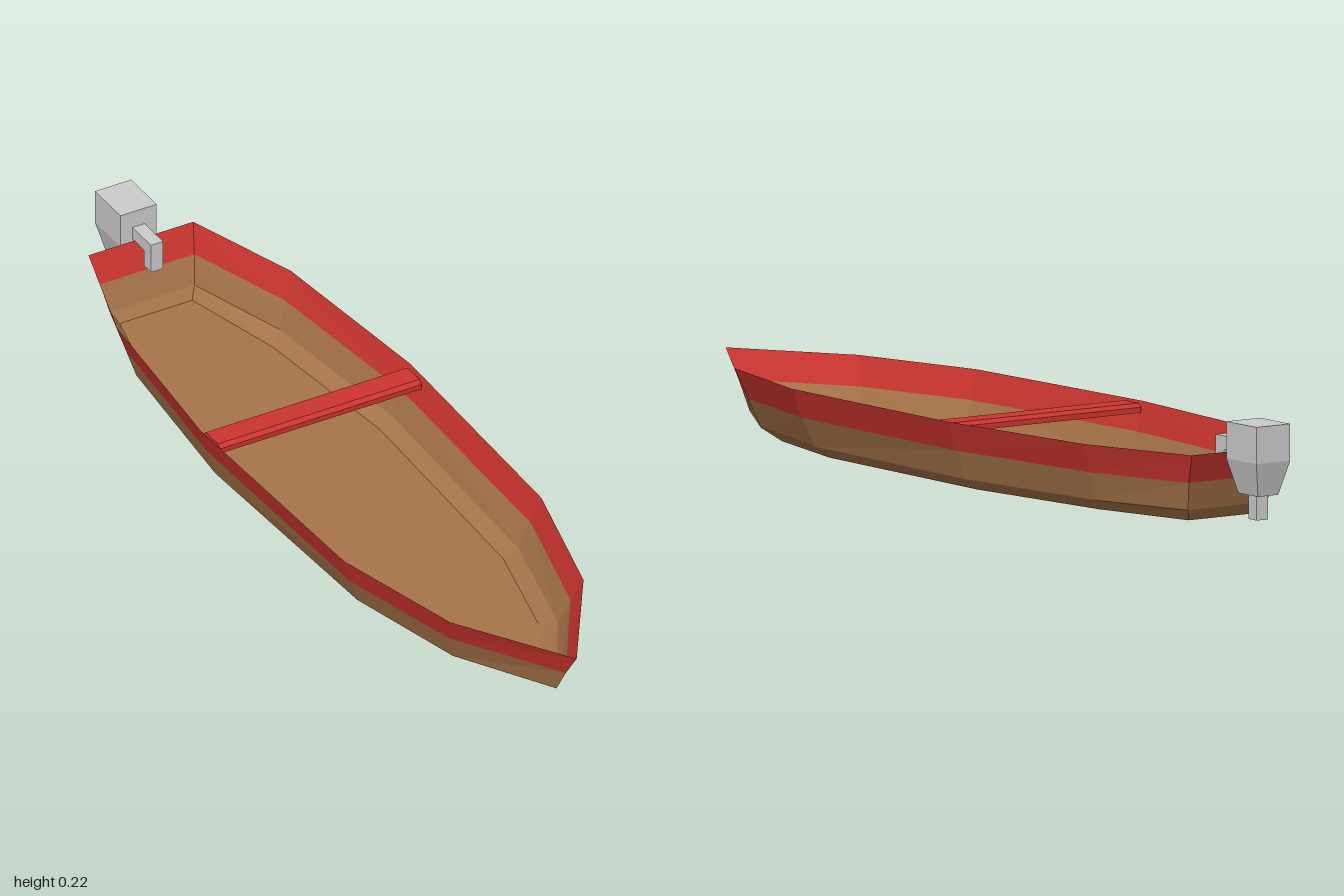
import * as THREE from 'three';

const RED = 0xcc3530, WOOD = 0xa8754a, GREY = 0xcccccc;
const material = (color) => new THREE.MeshStandardMaterial({ color, flatShading: true, side: THREE.DoubleSide });

// Hull outlines from keel to rim: height, then [half width, z] from bow to stern
const rings = [
  [0, [[0, 0.84], [0.11, 0.64], [0.17, 0.385], [0.19, -0.18], [0.15, -0.57], [0.09, -0.815]]],
  [0.025, [[0, 0.91], [0.13, 0.69], [0.2, 0.4], [0.22, -0.178], [0.178, -0.59], [0.105, -0.832]]],
  [0.088, [[0, 0.95], [0.15, 0.71], [0.225, 0.41], [0.24, -0.175], [0.197, -0.6], [0.117, -0.853]]],
  [0.152, [[0, 0.997], [0.165, 0.74], [0.245, 0.42], [0.26, -0.17], [0.217, -0.61], [0.13, -0.88]]],
].map(([y, half]) => [
  ...half.map(([x, z]) => [x, y, z]),
  ...half.slice(1).reverse().map(([x, z]) => [-x, y, z]),
]);

function add(group, name, geometry, color, x = 0, y = 0, z = 0) {
  const mesh = new THREE.Mesh(geometry, material(color));
  mesh.name = name;
  mesh.position.set(x, y, z);
  group.add(mesh);
  return mesh;
}

// Flat facets between two closed outlines
function band(lower, upper) {
  const p = [];
  lower.forEach((a, i) => {
    const j = (i + 1) % lower.length;
    p.push(...a, ...lower[j], ...upper[j], ...a, ...upper[j], ...upper[i]);
  });
  const g = new THREE.BufferGeometry();
  g.setAttribute('position', new THREE.Float32BufferAttribute(p, 3));
  g.computeVertexNormals();
  return g;
}

// Box whose lower end is scaled in x and z
function taperedBox(w, h, d, sx, sz) {
  const g = new THREE.BoxGeometry(w, h, d);
  const p = g.attributes.position;
  for (let i = 0; i < p.count; i++) {
    if (p.getY(i) < 0) p.setXYZ(i, p.getX(i) * sx, p.getY(i), p.getZ(i) * sz);
  }
  g.computeVertexNormals();
  return g;
}

export function createModel() {
  const boat = new THREE.Group();
  boat.name = 'rowingBoat';

  // Hull planking and floor
  const hull = new THREE.Group();
  hull.name = 'hull';
  boat.add(hull);
  ['bilgePlanks', 'sidePlanks', 'rimPlanks'].forEach((name, i) =>
    add(hull, name, band(rings[i], rings[i + 1]), i === 2 ? RED : WOOD));
  const outline = new THREE.Shape(rings[0].map(([x, , z]) => new THREE.Vector2(x, z)));
  add(hull, 'floor', new THREE.ShapeGeometry(outline).rotateX(Math.PI / 2), WOOD);

  // Seat plank with chamfered upper edges
  const section = new THREE.Shape([[-0.035, 0], [0.035, 0], [0.035, 0.012], [0.026, 0.02], [-0.026, 0.02], [-0.035, 0.012]]
    .map(([x, y]) => new THREE.Vector2(x, y)));
  const plank = new THREE.ExtrudeGeometry(section, { depth: 0.5, bevelEnabled: false });
  plank.translate(0, 0, -0.25).rotateY(Math.PI / 2);
  add(boat, 'seat', plank, RED, 0, 0.128, -0.14);

  // Outboard motor clamped over the transom
  const motor = new THREE.Group();
  motor.name = 'outboardMotor';
  boat.add(motor);
  add(motor, 'motorCover', new THREE.BoxGeometry(0.09, 0.08, 0.11), GREY, 0, 0.18, -0.945);
  add(motor, 'motorHousing', taperedBox(0.09, 0.075, 0.11, 0.6, 0.65), GREY, 0, 0.1025, -0.945);
  add(motor, 'motorLeg', new THREE.BoxGeometry(0.03, 0.055, 0.03), GREY, 0, 0.0375, -0.945);
  add(motor, 'bracketArm', new THREE.BoxGeometry(0.03, 0.03, 0.085), GREY, 0, 0.165, -0.8525);
  add(motor, 'bracketHook', new THREE.BoxGeometry(0.03, 0.04, 0.03), GREY, 0, 0.13, -0.825);

  return boat;
}
